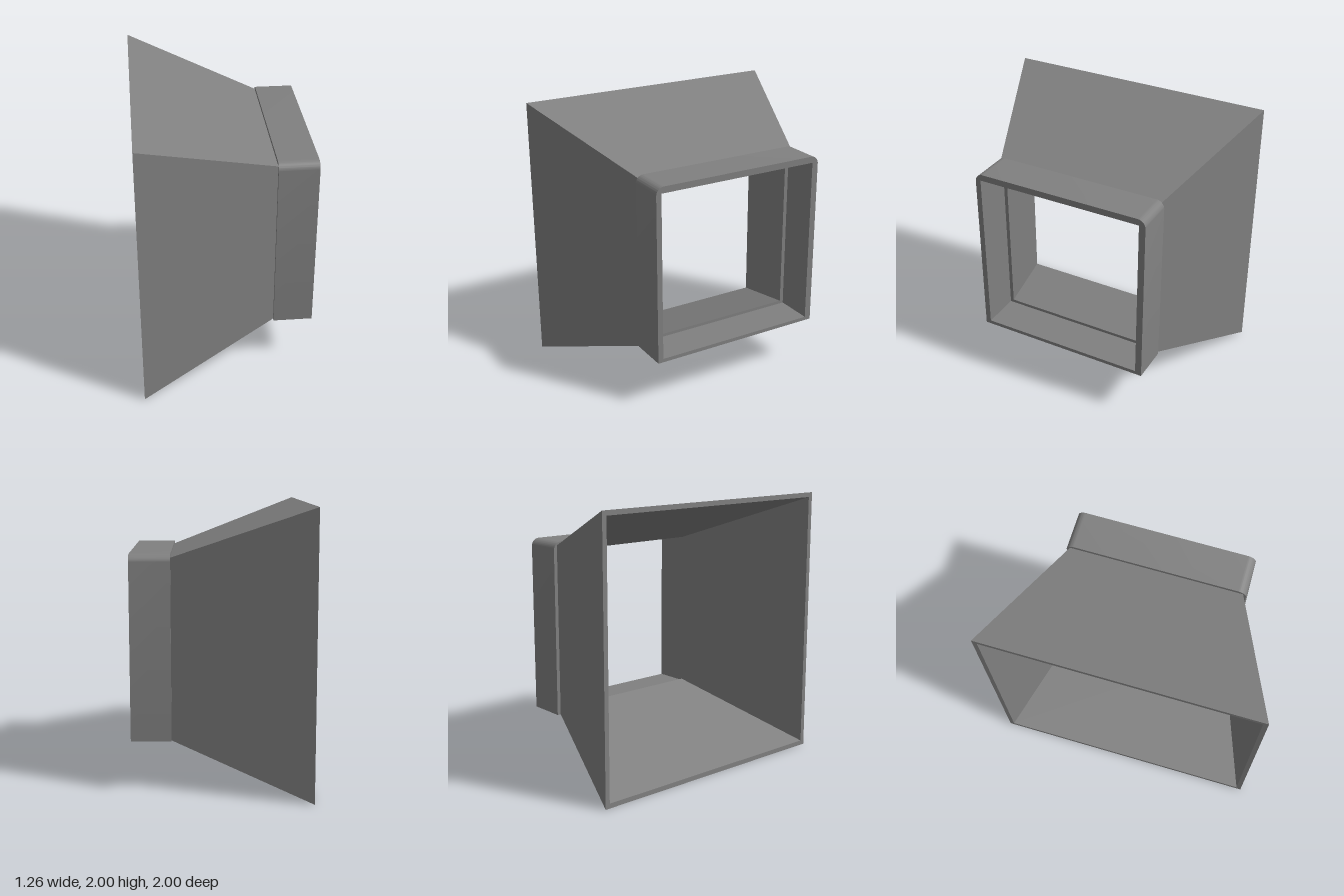
import * as THREE from 'three';
import { toCreasedNormals } from 'three/addons/utils/BufferGeometryUtils.js';

// Rectangular section at a given x, counterclockwise as seen from +x
const section = (x, y0, y1, z0, z1) => [[x, y0, z1], [x, y0, z0], [x, y1, z0], [x, y1, z1]];

// Joins consecutive sections, and the last back to the first, with flat faces
function loft(sections) {
  const points = [];
  sections.forEach((a, s) => {
    const b = sections[(s + 1) % sections.length];
    for (let i = 0; i < 4; i++) {
      const j = (i + 1) % 4;
      points.push(...a[i], ...a[j], ...b[j], ...a[i], ...b[j], ...b[i]);
    }
  });
  const geometry = new THREE.BufferGeometry();
  geometry.setAttribute('position', new THREE.Float32BufferAttribute(points, 3));
  geometry.computeVertexNormals();
  return geometry;
}

export function createModel() {
  const group = new THREE.Group();
  group.name = 'ductAdapter';
  const grey = new THREE.MeshStandardMaterial({ color: 0x808080 });
  grey.name = 'grey';

  const backX = -0.63, neckX = 0.345, frontX = 0.63;

  // Hollow tapering hood: outer skin, neck end, inner skin, wide rim
  const hood = new THREE.Mesh(loft([
    section(backX, 0, 2, -1, 1),
    section(neckX, 0.36, 1.645, -0.665, 0.613),
    section(neckX, 0.41, 1.6, -0.615, 0.57),
    section(backX, 0.035, 1.965, -0.965, 0.965),
  ]), grey);
  hood.name = 'hood';
  group.add(hood);

  // Square collar with rounded upper corners; the shape's x is -z of the model
  const l = -0.637, r = 0.692, b = 0.36, t = 1.67, rad = 0.06;
  const outline = new THREE.Shape();
  outline.moveTo(l, b);
  outline.lineTo(r, b);
  outline.lineTo(r, t - rad);
  outline.absarc(r - rad, t - rad, rad, 0, Math.PI / 2, false);
  outline.lineTo(l + rad, t);
  outline.absarc(l + rad, t - rad, rad, Math.PI / 2, Math.PI, false);
  outline.closePath();
  const opening = new THREE.Path();
  opening.moveTo(-0.597, 0.387);
  opening.lineTo(-0.597, 1.623);
  opening.lineTo(0.644, 1.623);
  opening.lineTo(0.644, 0.387);
  opening.closePath();
  outline.holes.push(opening);
  const ring = new THREE.ExtrudeGeometry(outline, {
    depth: frontX - neckX, bevelEnabled: false, curveSegments: 10,
  });
  ring.rotateY(Math.PI / 2);
  ring.translate(neckX, 0, 0);
  const collar = new THREE.Mesh(toCreasedNormals(ring, 0.5), grey);
  collar.name = 'collar';
  group.add(collar);

  return group;
}
